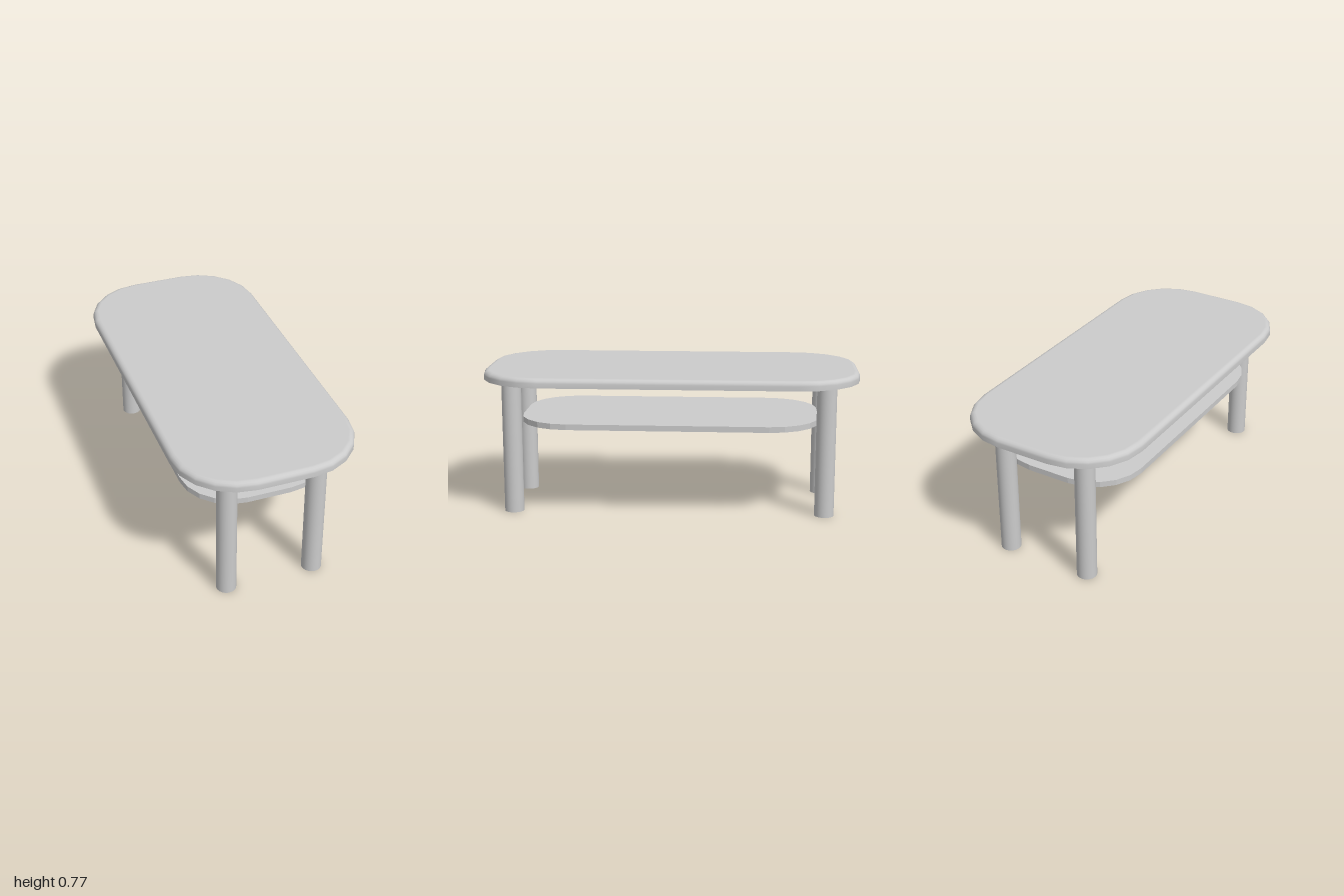
import * as THREE from 'three';

const grey = new THREE.MeshStandardMaterial({ color: 0xcccccc });
const hollow = new THREE.MeshStandardMaterial({ color: 0xcccccc, side: THREE.DoubleSide });

// Rounded rectangle outline in (x, z), five facets to each corner
function outline(halfX, halfZ, radius) {
  const points = [];
  const signs = [[1, 1], [-1, 1], [-1, -1], [1, -1]];
  signs.forEach(([sx, sz], corner) => {
    for (let i = 0; i <= 5; i++) {
      const a = (corner + i / 5) * Math.PI / 2;
      points.push(new THREE.Vector2(
        sx * (halfX - radius) + radius * Math.cos(a),
        sz * (halfZ - radius) + radius * Math.sin(a)));
    }
  });
  return points;
}

// Tabletop skin: stacked outlines shrinking by the inset, closed by a fan
function slabSkin(halfX, halfZ, radius, levels) {
  const positions = [], index = [];
  let n = 0;
  for (const [inset, y] of levels) {
    const ring = outline(halfX - inset, halfZ - inset, radius - inset);
    n = ring.length;
    ring.forEach(p => positions.push(p.x, y, p.y));
  }
  const last = (levels.length - 1) * n;
  const centre = positions.length / 3;
  positions.push(0, levels[levels.length - 1][1], 0);
  for (let i = 0; i < n; i++) {
    const j = (i + 1) % n;
    for (let r = 0; r < last; r += n) {
      index.push(r + i, r + n + i, r + j, r + j, r + n + i, r + n + j);
    }
    index.push(last + i, centre, last + j);
  }
  const geometry = new THREE.BufferGeometry();
  geometry.setAttribute('position', new THREE.Float32BufferAttribute(positions, 3));
  geometry.setIndex(index);
  geometry.computeVertexNormals();
  return geometry;
}

export function createModel() {
  const table = new THREE.Group();
  table.name = 'coffeeTable';
  const add = (name, geometry, material, x, y, z, parent = table) => {
    const mesh = new THREE.Mesh(geometry, material);
    mesh.name = name;
    mesh.position.set(x, y, z);
    parent.add(mesh);
    return mesh;
  };

  // Tabletop with a softened upper edge and a flat underside
  const top = new THREE.Group();
  top.name = 'tabletop';
  table.add(top);
  const levels = [[0, 0.72], [0, 0.744], [0.003, 0.754], [0.01, 0.762], [0.019, 0.767], [0.03, 0.769]];
  add('tabletopSurface', slabSkin(0.473, 1, 0.33, levels), grey, 0, 0, 0, top);
  const underside = new THREE.ShapeGeometry(new THREE.Shape(outline(0.473, 1, 0.33)));
  underside.rotateX(Math.PI / 2);
  add('tabletopUnderside', underside, grey, 0, 0.72, 0, top);

  // Thin shelf held between the legs
  const shelf = new THREE.ExtrudeGeometry(new THREE.Shape(outline(0.381, 0.794, 0.265)),
    { depth: 0.03, bevelEnabled: false });
  shelf.rotateX(Math.PI / 2);
  add('shelf', shelf, grey, 0, 0.513, 0.006);

  // Four open tubular legs
  const leg = new THREE.CylinderGeometry(0.052, 0.052, 0.72, 32, 1, true);
  for (const [side, x] of [['Left', 0.228], ['Right', -0.243]]) {
    for (const [end, z] of [['front', 0.843], ['back', -0.825]]) {
      add(`${end}${side}Leg`, leg, hollow, x, 0.36, z);
    }
  }
  return table;
}
